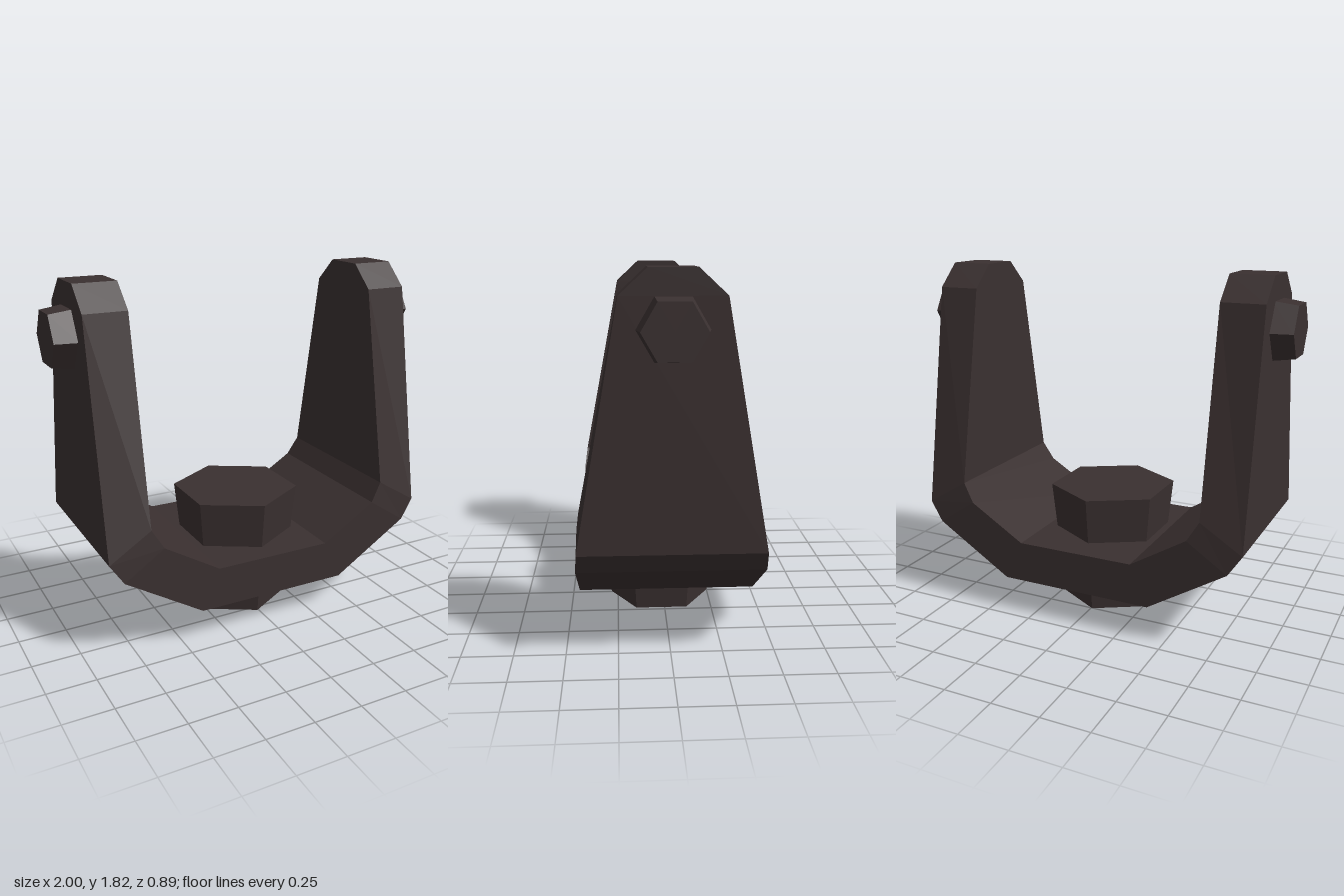
import * as THREE from 'three';

// Half of the yoke, from the middle of the base to the tip of one arm:
// outer x, outer y, outer half width, inner x, inner y, inner half width
const HALF = [
  [0.41, 0.185, 0.445, 0.315, 0.40, 0.445],
  [0.82, 0.44, 0.445, 0.61, 0.58, 0.445],
  [0.89, 0.545, 0.437, 0.67, 0.68, 0.432],
  [0.89, 1.70, 0.237, 0.67, 1.70, 0.237],
  [0.89, 1.82, 0.108, 0.67, 1.82, 0.108],
];

// Four-cornered sections joined into a U-shaped band
function yokeGeometry() {
  const mirrored = HALF.map(([ox, oy, ow, ix, iy, iw]) => [-ox, oy, ow, -ix, iy, iw]).reverse();
  const rings = [...mirrored, ...HALF].map(([ox, oy, ow, ix, iy, iw]) => [
    [ox, oy, ow], [ix, iy, iw], [ix, iy, -iw], [ox, oy, -ow],
  ]);
  const positions = [];
  const quad = (a, b, c, d) => positions.push(...a, ...b, ...c, ...a, ...c, ...d);

  for (let i = 0; i < rings.length - 1; i++) {
    const a = rings[i], b = rings[i + 1];
    for (let k = 0; k < 4; k++) {
      const n = (k + 1) % 4;
      quad(a[k], b[k], b[n], a[n]);
    }
  }
  // Flat tips of both arms
  quad(...rings[0]);
  quad(...rings[rings.length - 1].slice().reverse());

  const geometry = new THREE.BufferGeometry();
  geometry.setAttribute('position', new THREE.Float32BufferAttribute(positions, 3));
  geometry.computeVertexNormals();
  return geometry;
}

export function createModel() {
  const model = new THREE.Group();
  model.name = 'yokeBracket';

  const darkIron = new THREE.MeshStandardMaterial({
    color: 0x3a3030, flatShading: true, side: THREE.DoubleSide,
  });
  darkIron.name = 'darkIron';

  const add = (name, geometry) => {
    const mesh = new THREE.Mesh(geometry, darkIron);
    mesh.name = name;
    model.add(mesh);
    return mesh;
  };

  add('yoke', yokeGeometry());

  // Tapered hexagonal post through the base, closed on top and hollow below
  const post = add('centrePost', new THREE.CylinderGeometry(0.337, 0.269, 0.645, 6, 1, true));
  post.position.set(-0.007, 0.3225, 0.017);

  const cap = add('centrePostTop', new THREE.CircleGeometry(0.337, 6, Math.PI / 6)
    .rotateZ(Math.PI / 3).rotateX(-Math.PI / 2));
  cap.position.set(-0.007, 0.645, 0.017);

  // Hexagonal pivot bolts on the outside of the arms
  for (const side of [-1, 1]) {
    const bolt = add(side > 0 ? 'leftPivotBolt' : 'rightPivotBolt',
      new THREE.CylinderGeometry(0.145, 0.164, 0.12, 6));
    bolt.rotation.z = -side * Math.PI / 2;
    bolt.position.set(side * 0.94, 1.557, 0);
  }
  return model;
}
